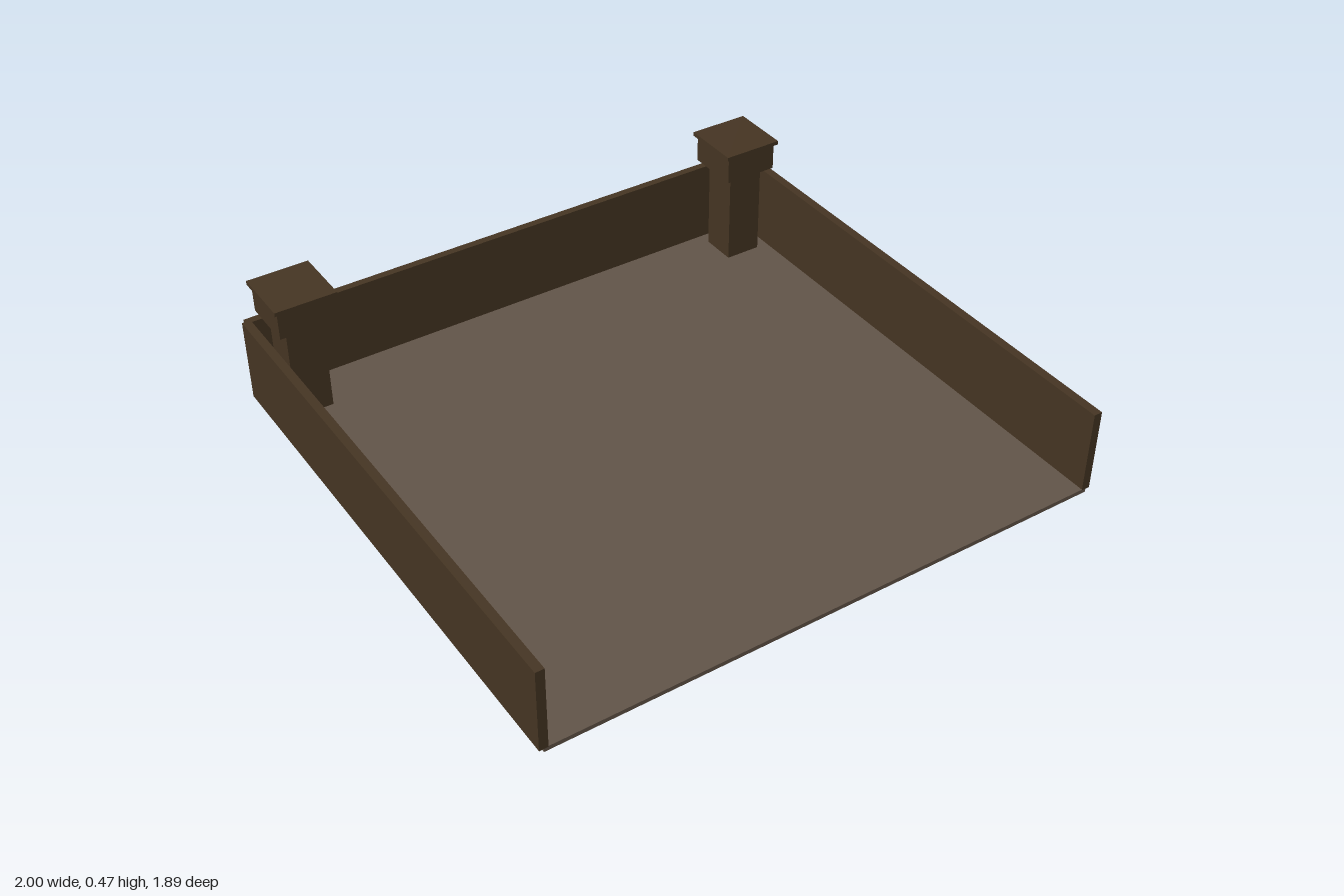
import * as THREE from 'three';

export function createModel() {
  const model = new THREE.Group();
  const wood = new THREE.MeshStandardMaterial({ color: 0x443422 });
  wood.name = 'dark wood';
  const floorMat = new THREE.MeshStandardMaterial({ color: 0x605347 });
  floorMat.name = 'floor brown';

  // Box given by its extents on each axis
  function box(name, parent, material, [x0, x1], [y0, y1], [z0, z1]) {
    const mesh = new THREE.Mesh(new THREE.BoxGeometry(x1 - x0, y1 - y0, z1 - z0), material);
    mesh.position.set((x0 + x1) / 2, (y0 + y1) / 2, (z0 + z1) / 2);
    mesh.name = name;
    parent.add(mesh);
  }

  // Floor slab and back wall
  box('floor', model, floorMat, [-0.985, 0.985], [0, 0.015], [-0.93, 0.942]);
  box('backWall', model, wood, [-0.988, 0.988], [0.012, 0.31], [-0.945, -0.918]);

  for (const side of [-1, 1]) {
    const label = side > 0 ? 'left' : 'right';

    // Side wall, open at the front
    const wallX = [0.97 * side, side].sort((a, b) => a - b);
    box(label + 'Wall', model, wood, wallX, [0.012, 0.31], [-0.93, 0.942]);

    // Corner post: shaft, block and thin cap
    const post = new THREE.Group();
    post.name = label + 'Post';
    post.position.set(0.862 * side, 0, -0.807);
    const tier = (name, half, y0, y1) =>
      box(name, post, wood, [-half, half], [y0, y1], [-half, half]);
    tier('shaft', 0.065, 0.012, 0.36);
    tier('block', 0.097, 0.36, 0.458);
    tier('cap', 0.108, 0.458, 0.472);
    model.add(post);
  }
  return model;
}
